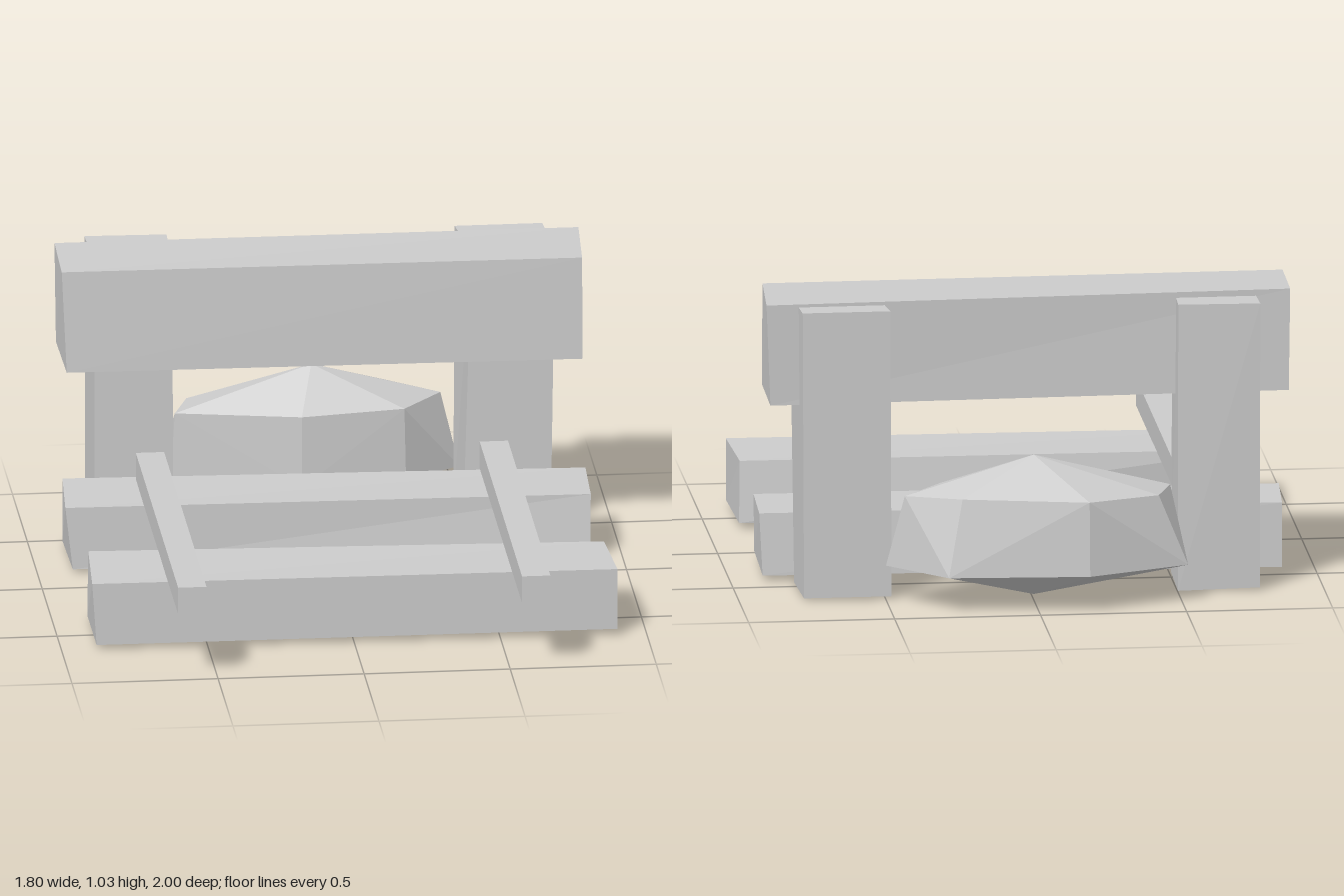
import * as THREE from 'three';
import { ConvexGeometry } from 'three/addons/geometries/ConvexGeometry.js';

const concrete = new THREE.MeshStandardMaterial({ color: 0xcccccc });
concrete.name = 'plain grey';

// Rough-hewn block: a box whose eight corners are moved to the given points.
// Each end lists [top front, top back, bottom front, bottom back].
function block(name, right, left) {
  const g = new THREE.BoxGeometry(1, 1, 1).toNonIndexed();
  const p = g.attributes.position;
  for (let i = 0; i < p.count; i++) {
    const end = p.getX(i) < 0 ? right : left;
    const k = (p.getY(i) > 0 ? 0 : 2) + (p.getZ(i) > 0 ? 0 : 1);
    p.setXYZ(i, ...end[k]);
  }
  g.computeVertexNormals();
  const m = new THREE.Mesh(g, concrete);
  m.name = name;
  return m;
}

export function createModel() {
  const model = new THREE.Group();
  model.name = 'trackBufferStop';

  // Cross beam
  model.add(block('bufferBeam',
    [[-0.9, 1.025, -0.325], [-0.895, 1.03, -0.62], [-0.885, 0.67, -0.305], [-0.89, 0.675, -0.62]],
    [[0.88, 1.02, -0.315], [0.9, 1.02, -0.635], [0.88, 0.662, -0.297], [0.885, 0.665, -0.62]]));

  // Upright posts
  model.add(block('rightPost',
    [[-0.775, 1.005, -0.45], [-0.78, 1.01, -0.74], [-0.775, 0.01, -0.445], [-0.78, 0.01, -0.72]],
    [[-0.51, 1.005, -0.45], [-0.5, 1.01, -0.73], [-0.505, 0.005, -0.445], [-0.5, 0.005, -0.72]]));
  model.add(block('leftPost',
    [[0.515, 1.01, -0.445], [0.485, 1.01, -0.72], [0.485, 0.005, -0.44], [0.48, 0.01, -0.715]],
    [[0.8, 1.01, -0.445], [0.785, 1.01, -0.72], [0.785, 0, -0.44], [0.78, 0.01, -0.715]]));

  // Sleepers under the rails
  model.add(block('frontSleeper',
    [[-0.895, 0.235, 0.65], [-0.875, 0.24, 0.32], [-0.88, 0.015, 0.65], [-0.88, 0.015, 0.335]],
    [[0.9, 0.237, 0.68], [0.885, 0.232, 0.37], [0.9, 0.022, 0.68], [0.89, 0.02, 0.345]]));
  model.add(block('rearSleeper',
    [[-0.905, 0.235, -0.155], [-0.885, 0.24, -0.45], [-0.88, 0.015, -0.15], [-0.885, 0.015, -0.455]],
    [[0.89, 0.235, -0.12], [0.9, 0.235, -0.4], [0.885, 0.03, -0.095], [0.89, 0.02, -0.415]]));

  // Rails
  for (const [name, x] of [['rightRail', -0.588], ['leftRail', 0.589]]) {
    const rail = new THREE.Mesh(new THREE.BoxGeometry(0.097, 0.096, 1.425), concrete);
    rail.position.set(x, 0.284, 0.2875);
    rail.name = name;
    model.add(rail);
  }

  // Boulder: two seven-sided rings with a point above and below
  const upper = [[-0.475, 0.375, -0.7], [-0.42, 0.375, -0.855], [-0.17, 0.385, -0.98], [0.26, 0.395, -0.93],
    [0.445, 0.383, -0.81], [0.305, 0.385, -0.64], [-0.05, 0.38, -0.6]];
  const lower = [[-0.49, 0.13, -0.7], [-0.52, 0.13, -0.86], [-0.17, 0.13, -1], [0.31, 0.13, -0.97],
    [0.505, 0.13, -0.765], [0.31, 0.13, -0.635], [-0.05, 0.13, -0.59]];
  const points = [...upper, ...lower, [0, 0.51, -0.78], [0, 0.02, -0.775]]
    .map((c) => new THREE.Vector3(...c));
  const boulder = new THREE.Mesh(new ConvexGeometry(points), concrete);
  boulder.name = 'boulder';
  model.add(boulder);

  return model;
}
